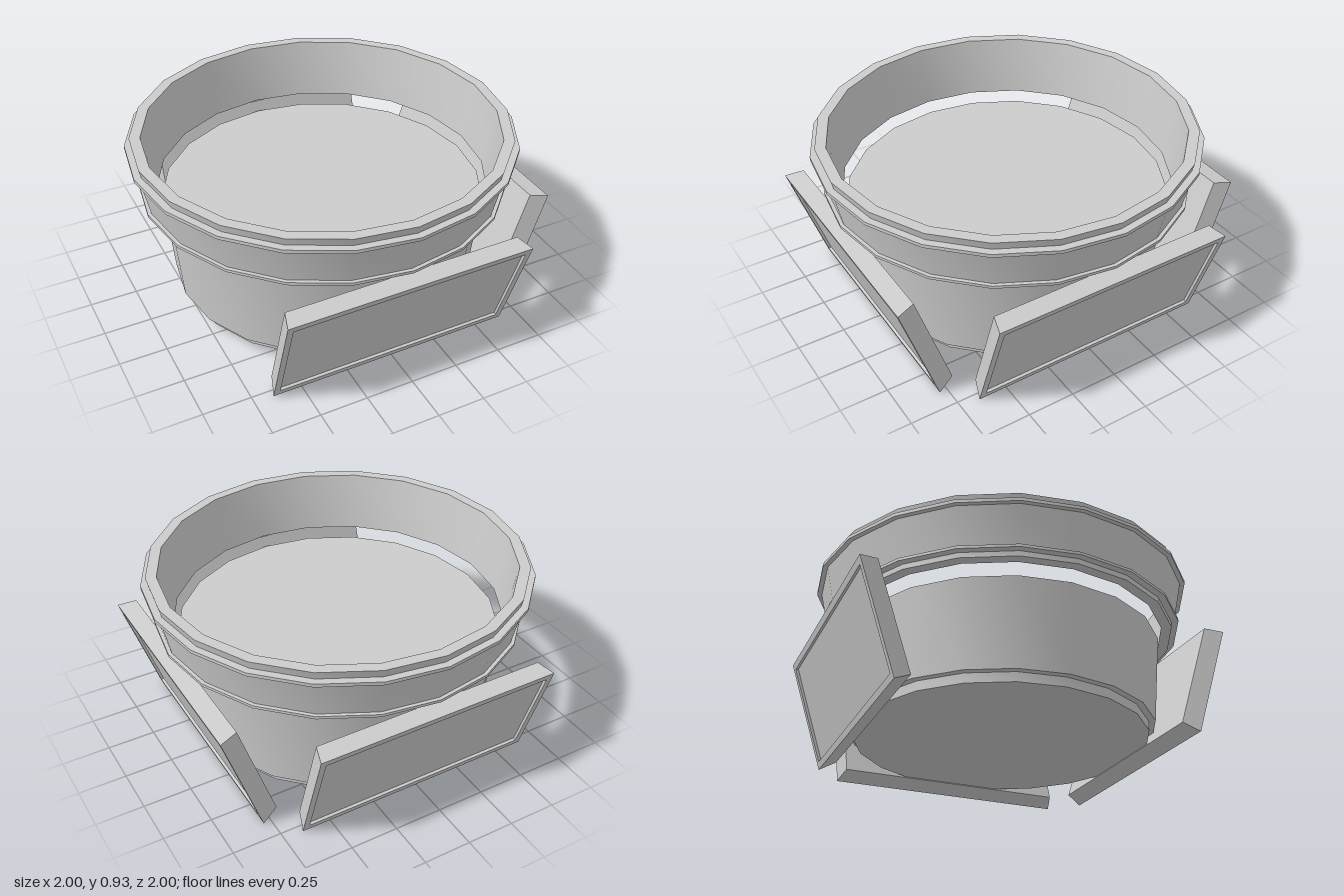
import * as THREE from 'three';
import { toCreasedNormals } from 'three/addons/utils/BufferGeometryUtils.js';

const material = new THREE.MeshStandardMaterial({ color: 0xcccccc });
const SIDES = 20;

// Turned part from [radius, height] pairs: smooth around, sharp at profile corners
function turned(name, profile) {
  const points = profile.map(([r, y]) => new THREE.Vector2(r, y));
  const geometry = toCreasedNormals(new THREE.LatheGeometry(points, SIDES), 0.4);
  const mesh = new THREE.Mesh(geometry, material);
  mesh.name = name;
  return mesh;
}

// Solid skinned over rectangular loops { w: half width, y0, y1, z }, capped at both ends
function rectLoft(loops) {
  const corners = loops.map(({ w, y0, y1, z }) =>
    [[-w, y0, z], [w, y0, z], [w, y1, z], [-w, y1, z]]);
  const positions = [];
  const quad = (a, b, c, d) => positions.push(...a, ...b, ...c, ...a, ...c, ...d);
  for (let i = 0; i < corners.length - 1; i++) {
    const p = corners[i], q = corners[i + 1];
    for (let j = 0; j < 4; j++) {
      const k = (j + 1) % 4;
      quad(p[j], p[k], q[k], q[j]);
    }
  }
  const first = corners[0], last = corners[corners.length - 1];
  quad(first[3], first[2], first[1], first[0]);
  quad(last[0], last[1], last[2], last[3]);
  const geometry = new THREE.BufferGeometry();
  geometry.setAttribute('position', new THREE.Float32BufferAttribute(positions, 3));
  geometry.computeVertexNormals();
  return geometry;
}

export function createModel() {
  const model = new THREE.Group();

  // Closed drum with a narrower foot
  model.add(turned('drum', [
    [0, 0.05], [0.765, 0.05], [0.765, 0.1], [0.8, 0.1], [0.84, 0.56], [0, 0.56],
  ]));

  // Flared open ring with two lips, hovering above the drum
  model.add(turned('upperRing', [
    [0.86, 0.62], [0.915, 0.62], [0.915, 0.648], [0.952, 0.648], [0.952, 0.663],
    [0.933, 0.663], [0.975, 0.868], [1, 0.868], [1, 0.886], [0.963, 0.886],
    [0.973, 0.928], [0.917, 0.928], [0.86, 0.62],
  ]));

  // Tilted side panels: bevelled plate with a shallow recessed face
  const panelGeometry = rectLoft([
    { w: 0.622, y0: 0.016, y1: 0.6, z: -0.095 },
    { w: 0.65, y0: 0, y1: 0.615, z: 0 },
    { w: 0.618, y0: 0.035, y1: 0.578, z: 0 },
    { w: 0.618, y0: 0.035, y1: 0.578, z: -0.015 },
  ]);
  ['frontPanel', 'leftPanel', 'backPanel'].forEach((name, i) => {
    const plate = new THREE.Mesh(panelGeometry, material);
    plate.name = name + 'Plate';
    plate.position.z = 0.79;
    plate.rotation.x = Math.PI / 10;
    const panel = new THREE.Group();
    panel.name = name;
    panel.rotation.y = i * Math.PI / 2;
    panel.add(plate);
    model.add(panel);
  });

  return model;
}
